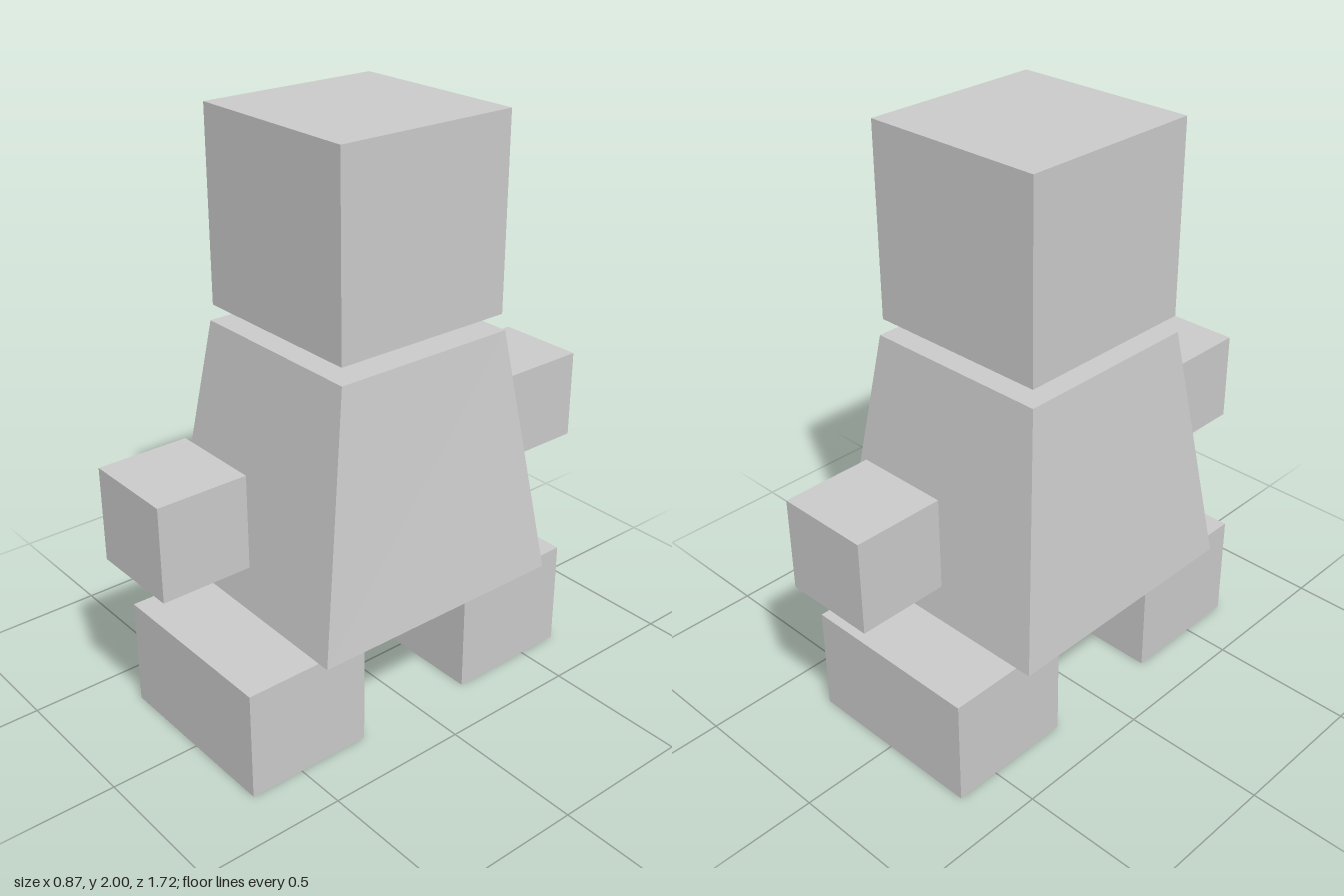
import * as THREE from 'three';

const material = new THREE.MeshStandardMaterial({ color: 0xcccccc, flatShading: true });

// Box given by its lower and upper corners
function block(name, min, max) {
  const size = max.map((v, i) => v - min[i]);
  const mesh = new THREE.Mesh(new THREE.BoxGeometry(...size), material);
  mesh.position.set(...max.map((v, i) => (v + min[i]) / 2));
  mesh.name = name;
  return mesh;
}

// Tapered body: box corners moved to a small top and a wide, slightly skewed hem
function body() {
  let geometry = new THREE.BoxGeometry(1, 1, 1);
  const hem = {
    left: { front: [0.425, 0.477], back: [0.432, -0.452] },
    right: { front: [-0.437, 0.46], back: [-0.437, -0.45] },
  };
  const p = geometry.attributes.position;
  for (let i = 0; i < p.count; i++) {
    const left = p.getX(i) > 0, front = p.getZ(i) > 0;
    if (p.getY(i) > 0) {
      p.setXYZ(i, left ? 0.322 : -0.338, 1.3, front ? 0.33 : -0.33);
    } else {
      const [x, z] = hem[left ? 'left' : 'right'][front ? 'front' : 'back'];
      p.setXYZ(i, x, 0.44, z);
    }
  }
  geometry = geometry.toNonIndexed();
  geometry.computeVertexNormals();
  const mesh = new THREE.Mesh(geometry, material);
  mesh.name = 'body';
  return mesh;
}

export function createModel() {
  const model = new THREE.Group();
  model.name = 'blockFigure';
  model.add(
    block('head', [-0.328, 1.355, -0.32], [0.315, 2, 0.325]),
    body(),
    // Floating hands
    block('frontHand', [-0.17, 0.702, 0.555], [0.15, 1.018, 0.862]),
    block('backHand', [-0.17, 0.702, -0.862], [0.15, 1.018, -0.555]),
    // Separate feet
    block('frontFoot', [-0.335, 0, 0.24], [0.318, 0.38, 0.69]),
    block('backFoot', [-0.335, 0, -0.655], [0.318, 0.38, -0.203]),
  );
  return model;
}
